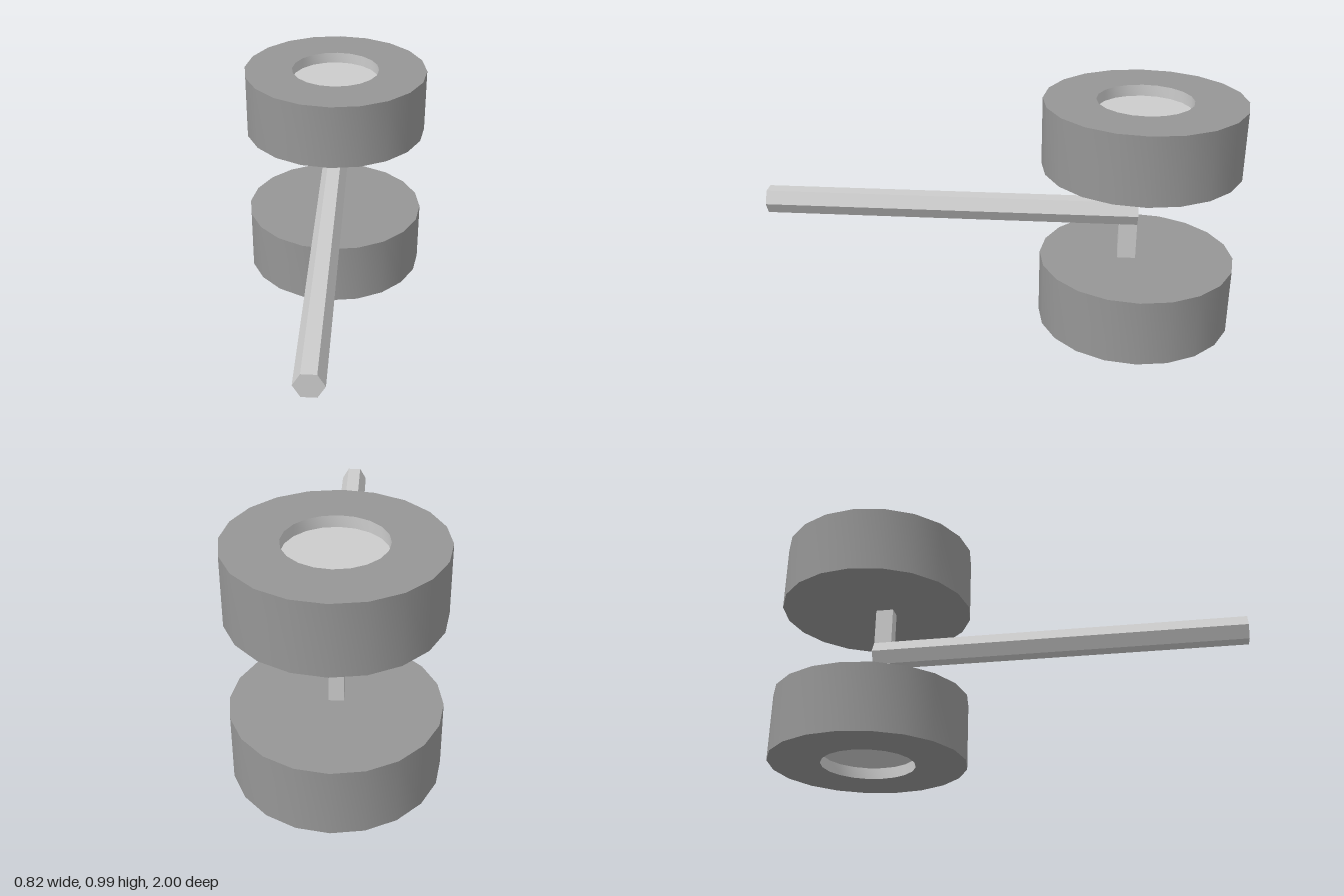
import * as THREE from 'three';
import { toCreasedNormals } from 'three/addons/utils/BufferGeometryUtils.js';

const MID_Y = 0.493, WHEEL_Z = -0.5875;
const WHEEL_R = 0.4125, WHEEL_H = 0.285, HUB_R = 0.197, RECESS = 0.048;
const SIDES = 20;

const light = new THREE.MeshStandardMaterial({ color: 0xcccccc });
const lightFlat = new THREE.MeshStandardMaterial({ color: 0xcccccc, flatShading: true });
const dark = new THREE.MeshStandardMaterial({ color: 0x969696 });

// Smooth round part with sharp rims
function turned(name, profile, material) {
  const points = profile.map(([r, y]) => new THREE.Vector2(r, y));
  const geometry = toCreasedNormals(new THREE.LatheGeometry(points, SIDES), 0.6);
  const mesh = new THREE.Mesh(geometry, material);
  mesh.name = name;
  return mesh;
}

// Wheel with closed inner face at y = 0 and a recessed hub on the outer face
function makeWheel(name) {
  const wheel = new THREE.Group();
  wheel.name = name;
  wheel.add(
    turned('tyre', [[0, 0], [WHEEL_R, 0], [WHEEL_R, WHEEL_H], [HUB_R, WHEEL_H]], dark),
    turned('hub', [[HUB_R, WHEEL_H], [HUB_R, WHEEL_H - RECESS], [0, WHEEL_H - RECESS]], light)
  );
  return wheel;
}

export function createModel() {
  const model = new THREE.Group();
  model.name = 'wheelPairOnRod';

  // Two wheels, mirrored about the rod
  const upper = makeWheel('upperWheel');
  upper.position.set(0, 2 * MID_Y - WHEEL_H, WHEEL_Z);
  const lower = makeWheel('lowerWheel');
  lower.rotation.x = Math.PI;
  lower.position.set(0, WHEEL_H, WHEEL_Z);

  // Square axle between the wheels, flush with the end of the rod
  const axle = new THREE.Mesh(
    new THREE.BoxGeometry(0.059, 2 * (MID_Y - WHEEL_H) + 0.01, 0.076), lightFlat);
  axle.name = 'axle';
  axle.position.set(0, MID_Y, -0.547);

  // Hexagonal rod running forward
  const rodLength = 1.585;
  const rodGeometry = new THREE.CylinderGeometry(
    0.0585, 0.0585, rodLength, 6, 1, false, Math.PI / 2);
  rodGeometry.rotateX(Math.PI / 2);
  const rod = new THREE.Mesh(rodGeometry, lightFlat);
  rod.name = 'rod';
  rod.position.set(0, MID_Y, 1 - rodLength / 2);

  model.add(upper, lower, axle, rod);
  return model;
}
